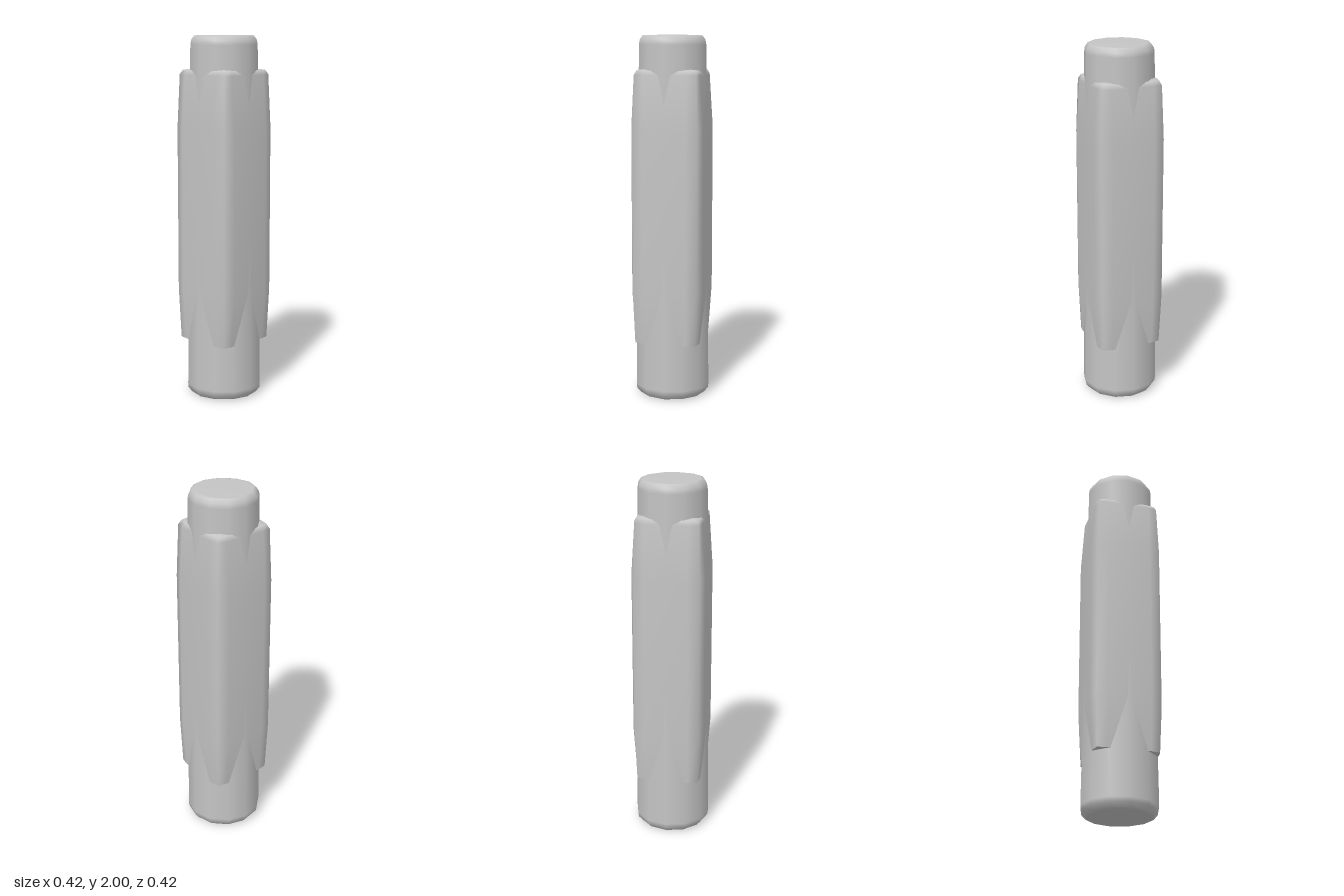
import * as THREE from 'three';

const grey = new THREE.MeshStandardMaterial({ color: 0xc4c4c4 });
grey.name = 'plain grey';

// Tapered twelve-sided rod with softened ends
function makeRod() {
  const profile = [
    [0, 0], [0.17, 0], [0.185, 0.004], [0.207, 0.03], [0.21, 0.055],
    [0.187, 1.95], [0.183, 1.975], [0.168, 1.997], [0.155, 2], [0, 2],
  ].map(([r, y]) => new THREE.Vector2(r, y));
  return new THREE.LatheGeometry(profile, 12);
}

// One squared ring with chamfered corners, counterclockwise from above
function squareRing(y, half, scale = 1) {
  const corner = 0.08 + half / 2;
  const ring = [];
  let side = [[-0.12, half], [0.12, half], [corner, corner]];
  for (let i = 0; i < 4; i++) {
    side.forEach(([x, z]) => ring.push([x * scale, y, z * scale]));
    side = side.map(([x, z]) => [z, -x]);
  }
  return ring;
}

function ringsGeometry(rings) {
  const n = rings[0].length;
  const index = [];
  for (let r = 0; r < rings.length - 1; r++) {
    for (let i = 0; i < n; i++) {
      const a = r * n + i, b = r * n + (i + 1) % n;
      index.push(a, b, b + n, a, b + n, a + n);
    }
  }
  const geometry = new THREE.BufferGeometry();
  geometry.setAttribute('position', new THREE.Float32BufferAttribute(rings.flat(2), 3));
  geometry.setIndex(index);
  geometry.computeVertexNormals();
  return geometry;
}

export function createModel() {
  const model = new THREE.Group();
  const add = (name, geometry) => {
    const mesh = new THREE.Mesh(geometry, grey);
    mesh.name = name;
    model.add(mesh);
  };

  add('rod', makeRod());

  // Squared sleeve, narrowing at both ends, with a softly domed top
  add('sleeve', ringsGeometry([
    squareRing(0.315, 0.18), squareRing(0.6, 0.2),
    squareRing(1.5, 0.2), squareRing(1.79, 0.18),
    squareRing(1.815, 0.18, 0.93), squareRing(1.825, 0.18, 0.6),
  ]));

  // Flat underside of the sleeve
  add('sleeveUnderside', ringsGeometry([
    squareRing(0.315, 0.18, 0.6), squareRing(0.315, 0.18),
  ]));
  return model;
}
